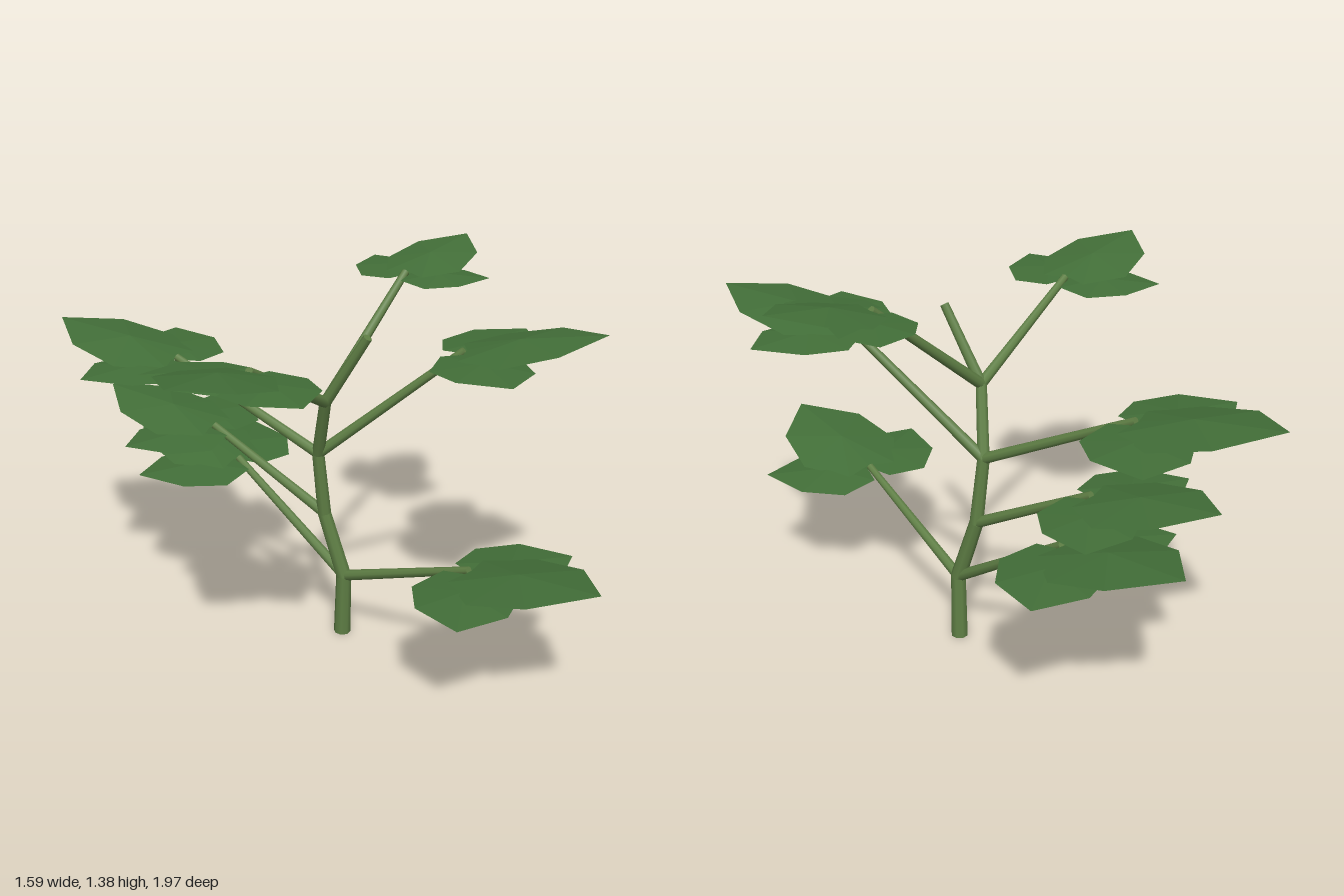
import * as THREE from 'three';

const stemMaterial = new THREE.MeshStandardMaterial({ color: 0x5f7f45 });
const leafMaterial = new THREE.MeshStandardMaterial({ color: 0x426e38, flatShading: true, side: THREE.DoubleSide });

// Tapered round rod from a to b
function rod(name, a, b, r0, r1) {
  const dir = b.clone().sub(a);
  const mesh = new THREE.Mesh(new THREE.CylinderGeometry(r1, r0, dir.length(), 8), stemMaterial);
  mesh.position.copy(a).lerp(b, 0.5);
  mesh.quaternion.setFromUnitVectors(new THREE.Vector3(0, 1, 0), dir.normalize());
  mesh.name = name;
  return mesh;
}

// Low-poly heart-shaped leaf of unit length along +x, gently domed
function makeLeafGeometry() {
  const half = [[1, 0.01, 0], [0.67, -0.005, 0.34], [0.27, -0.03, 0.41], [-0.03, -0.01, 0.2]];
  const rim = [
    ...half.map(([x, y, z]) => [x, y, -z]),
    [0.02, 0, 0],
    ...half.slice(1).reverse(),
  ];
  const centre = [0.4, 0.045, 0];
  const pos = [];
  rim.forEach((p, i) => pos.push(...centre, ...p, ...rim[(i + 1) % rim.length]));
  const geometry = new THREE.BufferGeometry();
  geometry.setAttribute('position', new THREE.Float32BufferAttribute(pos, 3));
  geometry.computeVertexNormals();
  return geometry;
}

export function createModel() {
  const model = new THREE.Group();
  model.name = 'plant';
  const leafGeometry = makeLeafGeometry();

  function leaf(name, base, azimuth, pitch, length, width) {
    const mesh = new THREE.Mesh(leafGeometry, leafMaterial);
    mesh.name = name;
    mesh.position.copy(base);
    mesh.rotation.set(0, -azimuth, pitch, 'YXZ');
    mesh.scale.set(length, length, length * width);
    return mesh;
  }

  // Crooked stem
  const nodes = [
    [0.12, 0, -0.035], [0.118, 0.24, -0.025], [0.077, 0.48, -0.09],
    [0.05, 0.72, -0.09], [0.013, 0.95, 0.005], [0.085, 1.2, 0.14],
  ].map((p) => new THREE.Vector3(...p));
  const radii = [0.031, 0.028, 0.025, 0.022, 0.02, 0.016];
  for (let i = 0; i < nodes.length - 1; i++) {
    model.add(rod('stem', nodes[i], nodes[i + 1], radii[i], radii[i + 1]));
    if (i > 0) {
      const joint = new THREE.Mesh(new THREE.SphereGeometry(radii[i], 8, 6), stemMaterial);
      joint.name = 'stemJoint';
      joint.position.copy(nodes[i]);
      model.add(joint);
    }
  }

  // Branches: start node, end point, main leaf length
  const branches = [
    [1, [0.24, 0.46, 0.51], 0.5],
    [1, [-0.03, 0.58, -0.5], 0.5],
    [2, [-0.13, 0.735, -0.5], 0.46],
    [3, [-0.235, 1.0, -0.57], 0.49],
    [3, [0.385, 1.135, 0.275], 0.47],
    [4, [-0.41, 1.205, 0.205], 0.43],
    [4, [0.435, 1.31, -0.105], 0.38],
  ];
  for (const [n, p, length] of branches) {
    const start = nodes[n], end = new THREE.Vector3(...p);
    const azimuth = Math.atan2(end.z - start.z, end.x - start.x);
    const branch = new THREE.Group();
    branch.name = 'branch';
    branch.add(rod('branchStalk', start, end, 0.02, 0.014));
    // One raised leaf ahead and a level one on each side
    branch.add(leaf('mainLeaf', end, azimuth, 0.17, length, 1));
    const low = end.clone();
    low.y -= 0.012;
    for (const side of [-1, 1]) {
      branch.add(leaf('sideLeaf', low, azimuth + side * 1.04, 0, length * 0.77, 1.12));
    }
    model.add(branch);
  }
  return model;
}
